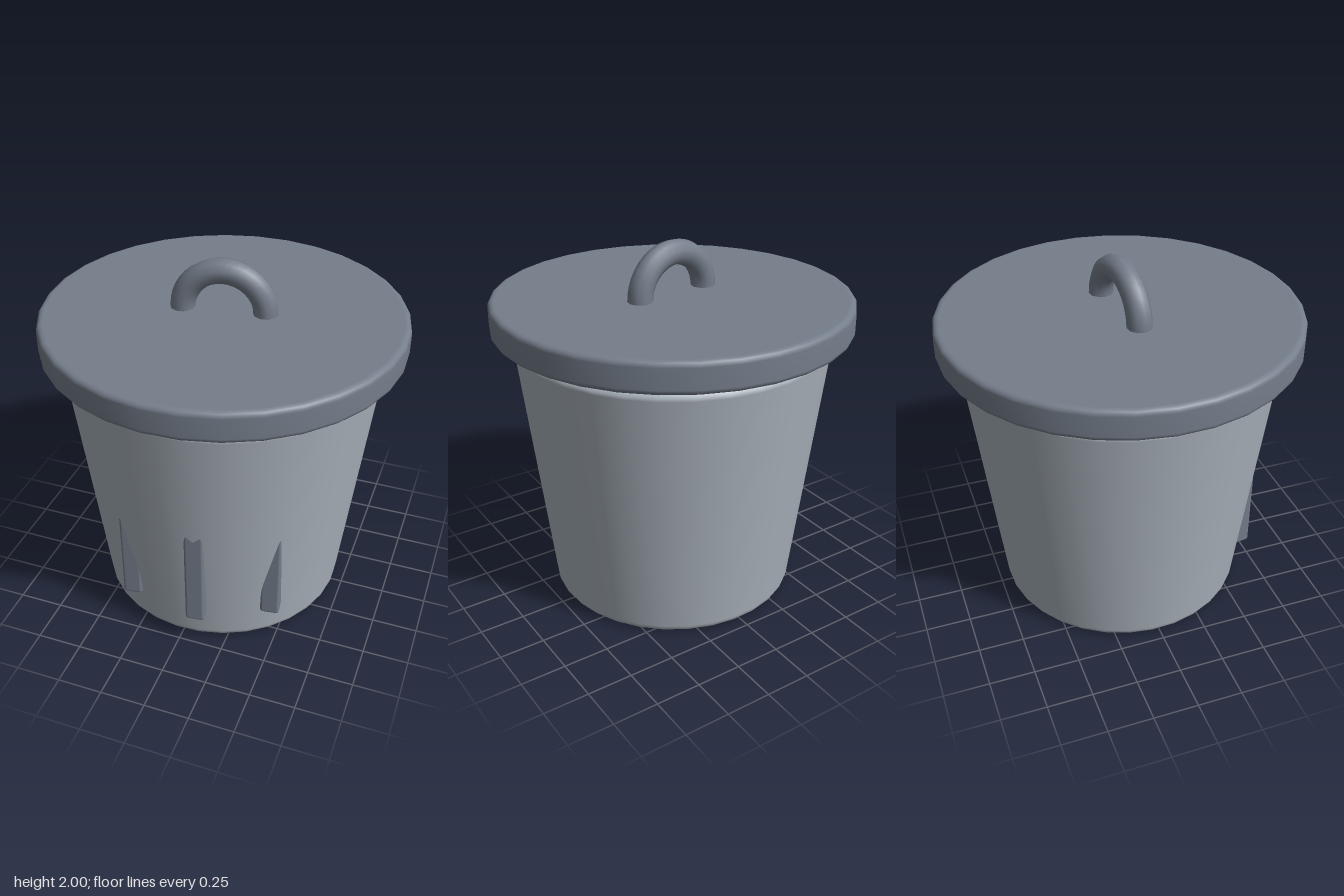
import * as THREE from 'three';
import { RoundedBoxGeometry } from 'three/addons/geometries/RoundedBoxGeometry.js';

const SIDES = 32;

// Closed, tapered drum with softly rounded rims
function roundedDrum(rBottom, rTop, y0, y1, bevel) {
  const pts = [[0, y0], [rBottom - bevel - 0.004, y0]];
  const steps = 4;
  for (let i = 0; i <= steps; i++) {
    const a = (i / steps) * Math.PI / 2;
    pts.push([rBottom - bevel + bevel * Math.sin(a), y0 + bevel - bevel * Math.cos(a)]);
  }
  for (let i = 0; i <= steps; i++) {
    const a = (i / steps) * Math.PI / 2;
    pts.push([rTop - bevel + bevel * Math.cos(a), y1 - bevel + bevel * Math.sin(a)]);
  }
  pts.push([rTop - bevel - 0.004, y1], [0, y1]);
  return new THREE.LatheGeometry(pts.map(([x, y]) => new THREE.Vector2(x, y)), SIDES);
}

export function createModel() {
  const group = new THREE.Group();
  group.name = 'trashCan';

  const lightMetal = new THREE.MeshStandardMaterial({ color: 0xa9b2bb });
  lightMetal.name = 'light metal';
  const darkMetal = new THREE.MeshStandardMaterial({ color: 0x757e8b });
  darkMetal.name = 'dark metal';

  const add = (name, geometry, material, x = 0, y = 0, z = 0) => {
    const mesh = new THREE.Mesh(geometry, material);
    mesh.name = name;
    mesh.position.set(x, y, z);
    group.add(mesh);
    return mesh;
  };

  // Tapered bin and the lid floating just above it
  add('body', roundedDrum(0.695, 0.862, 0, 1.5, 0.04), lightMetal);
  add('lid', roundedDrum(0.978, 0.978, 1.54, 1.71, 0.03), darkMetal);

  // Half-ring handle, its open ends resting on the lid
  add('handle', new THREE.TorusGeometry(0.222, 0.068, 10, 20, Math.PI), darkMetal, 0, 1.71, 0);

  // Upright ribs that sink into the widening wall
  const ribs = [['rightRib', -0.39, 0.645], ['middleRib', 0, 0.78], ['leftRib', 0.39, 0.645]];
  for (const [name, x, front] of ribs) {
    add(name, new RoundedBoxGeometry(0.105, 0.8, 0.2, 2, 0.015), darkMetal, x, 0.6, front - 0.1);
  }

  // The whole can is turned slightly to one side
  group.rotation.y = 0.134;
  return group;
}
